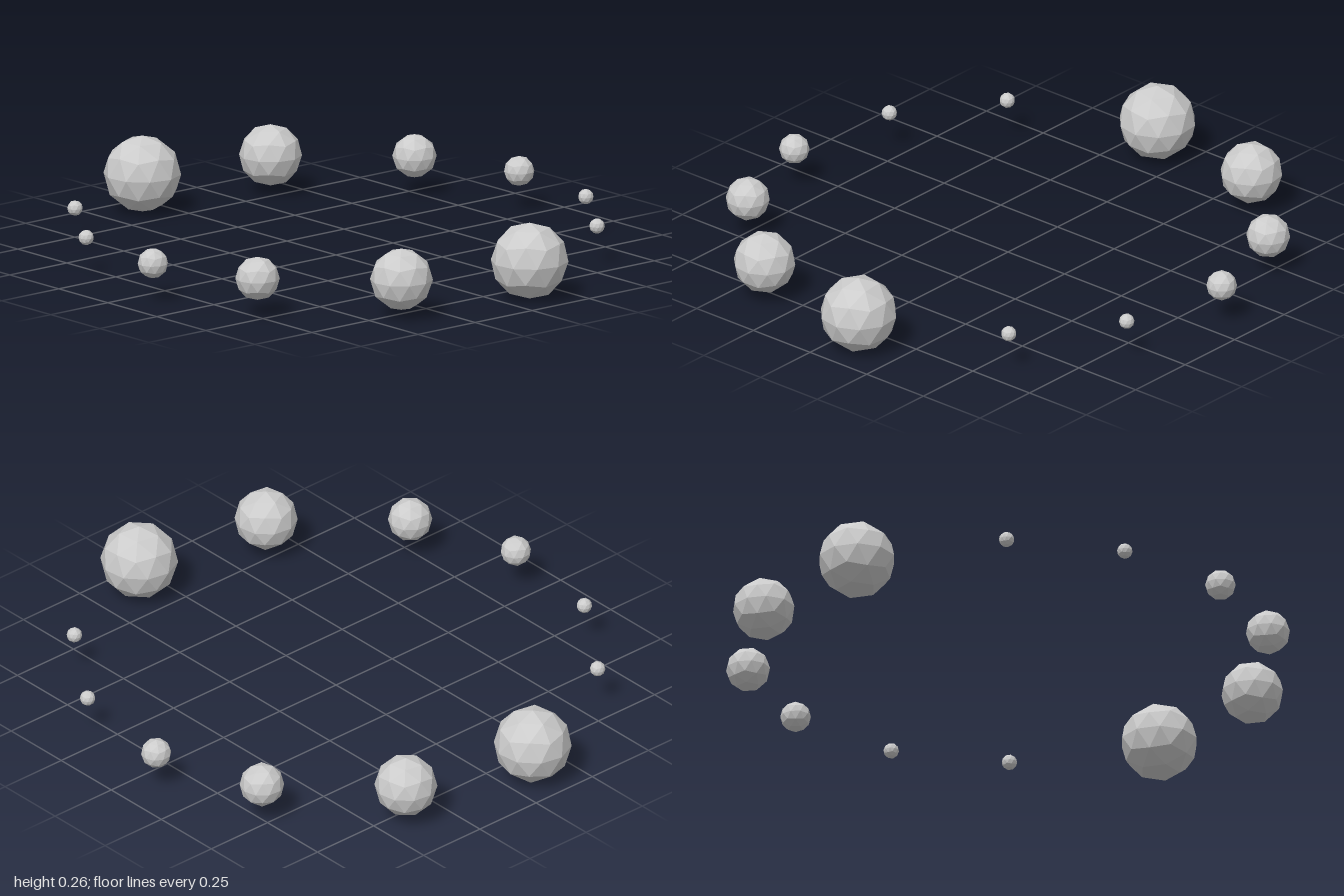
import * as THREE from 'three';

// Beads of one half of the ring: [angle in degrees from +x towards +z, radius]
const BEADS = [
  [-6.6, 0.13],
  [26.3, 0.105],
  [58, 0.074],
  [84.7, 0.051],
  [112.1, 0.026],
  [138.7, 0.026],
];
const RING_RADIUS = 0.876;
const HEIGHT = 0.13;

export function createModel() {
  const model = new THREE.Group();
  model.name = 'beadRing';
  const material = new THREE.MeshStandardMaterial({ color: 0xcccccc, flatShading: true });

  // Faceted ball with one corner straight up and an equator corner on +x
  const ball = new THREE.IcosahedronGeometry(1, 1);
  ball.rotateZ(Math.atan(2 / (1 + Math.sqrt(5))));
  ball.rotateY(Math.PI / 2);

  // The second half repeats the first, turned half way round
  for (let half = 0; half < 2; half++) {
    BEADS.forEach(([degrees, radius], i) => {
      const angle = THREE.MathUtils.degToRad(degrees) + half * Math.PI;
      const bead = new THREE.Mesh(ball, material);
      bead.name = `bead${half * BEADS.length + i + 1}`;
      bead.scale.setScalar(radius);
      bead.position.set(RING_RADIUS * Math.cos(angle), HEIGHT, RING_RADIUS * Math.sin(angle));
      bead.rotation.y = -angle;
      model.add(bead);
    });
  }
  return model;
}
